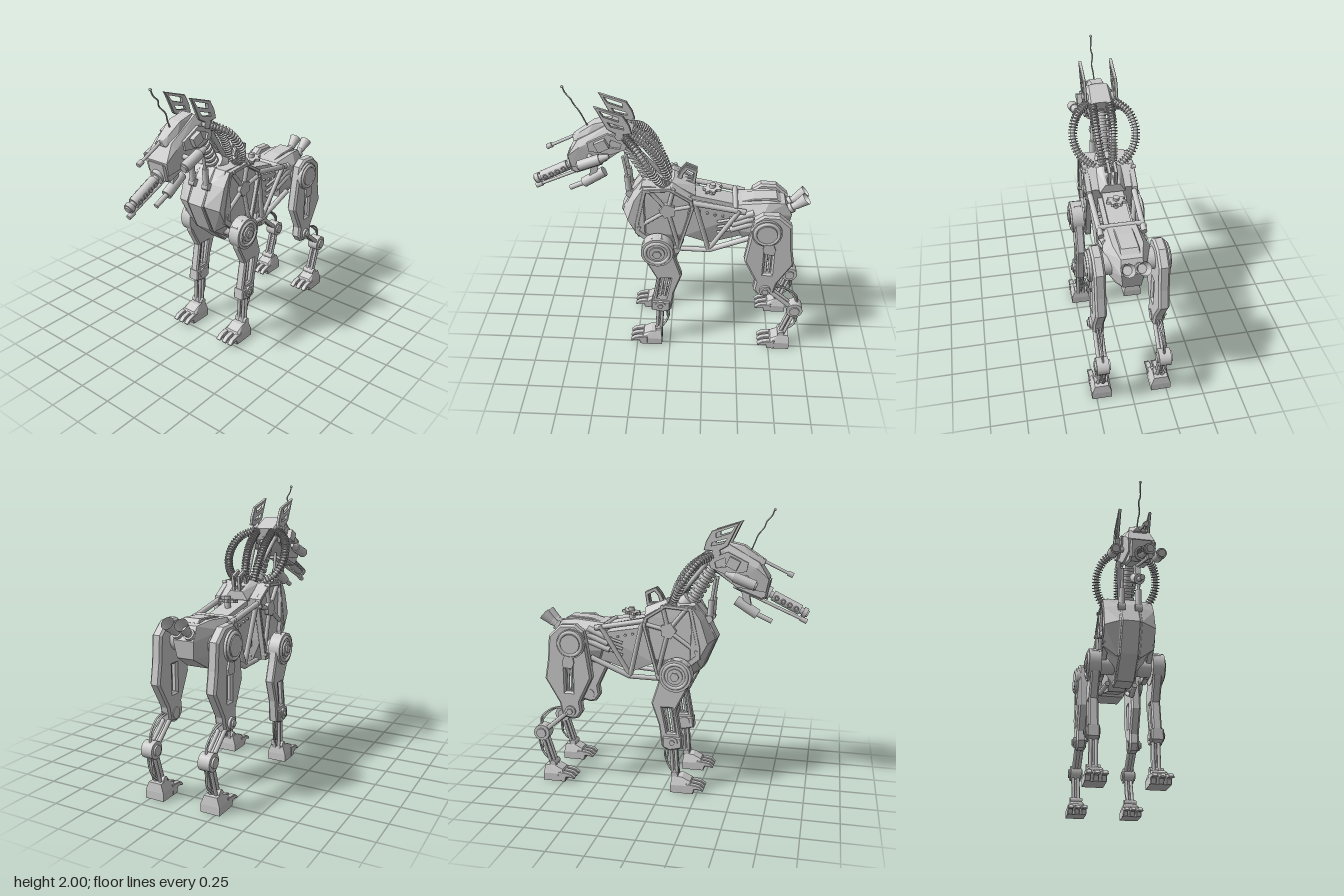
import * as THREE from 'three';
import { ConvexGeometry } from 'three/addons/geometries/ConvexGeometry.js';
import { mergeGeometries } from 'three/addons/utils/BufferGeometryUtils.js';

const V = (p) => new THREE.Vector3(...p);
const mat = new THREE.MeshStandardMaterial({ color: 0xcccccc, side: THREE.DoubleSide });

// Side profile of [z, y] points, extruded from x0 to x1
function plate(pts, x0, x1, holes = [], bevel = 0) {
  const to2 = (a) => a.map((p) => new THREE.Vector2(...p));
  const shape = new THREE.Shape(to2(pts));
  holes.forEach((h) => shape.holes.push(new THREE.Path(to2(h))));
  const g = new THREE.ExtrudeGeometry(shape, {
    depth: x1 - x0 - 2 * bevel, bevelEnabled: bevel > 0, bevelSize: bevel, bevelOffset: -bevel, bevelThickness: bevel, bevelSegments: 1,
  });
  return g.rotateY(-Math.PI / 2).translate(x1 - bevel, 0, 0);
}
// Convex solid, symmetric about x = 0
const hull = (pts) => new ConvexGeometry(pts.flatMap(([x, y, z]) => [V([x, y, z]), V([-x, y, z])]));
const solid = (pts) => new ConvexGeometry(pts.map(V));
// Round bar between two points
function rod(a, b, r, rEnd = r, seg = 12, open = false) {
  const A = V(a), B = V(b), d = B.clone().sub(A);
  const g = new THREE.CylinderGeometry(rEnd, r, d.length(), seg, 1, open);
  g.applyQuaternion(new THREE.Quaternion().setFromUnitVectors(V([0, 1, 0]), d.normalize()));
  const m = A.add(B).multiplyScalar(0.5);
  return g.translate(m.x, m.y, m.z);
}
const disc = (z, y, r, x0, x1, seg = 28) => rod([x0, y, z], [x1, y, z], r, r, seg);
const ring = (z, y, r, t, x) => new THREE.TorusGeometry(r, t, 8, 32).rotateY(Math.PI / 2).translate(x, y, z);
const curve = (pts) => new THREE.CatmullRomCurve3(pts.map(V));
const cable = (pts, r, n = 24) => new THREE.TubeGeometry(curve(pts), n, r, 6);
// Hose core with evenly spaced collars
function hose(pts, r, collar, n, thick) {
  const c = curve(pts), parts = [new THREE.TubeGeometry(c, 32, r, 10)];
  for (let i = 0; i <= n; i++) {
    const p = c.getPointAt(i / n), t = c.getTangentAt(i / n).multiplyScalar(thick / 2);
    parts.push(rod(p.clone().sub(t).toArray(), p.clone().add(t).toArray(), collar, collar, 14));
  }
  return mergeGeometries(parts);
}
function mirrored(geo) {
  const g = geo.clone().scale(-1, 1, 1);
  const n = g.attributes.position.count;
  const idx = g.index ? Array.from(g.index.array) : Array.from({ length: n }, (_, i) => i);
  g.setIndex(idx.reverse());
  return g;
}

export function createModel() {
  const model = new THREE.Group();
  let part;
  const section = (name) => { part = new THREE.Group(); part.name = name; model.add(part); };
  const add = (name, g) => { const m = new THREE.Mesh(g, mat); m.name = name; part.add(m); };
  const both = (name, g) => { add(name + 'Left', g); add(name + 'Right', mirrored(g)); };

  // Chest shell, keel and side trusses
  section('chest');
  add('chestShell', hull([[.15, 1.34, .2], [.15, 1.34, -.01], [.155, 1.25, -.14], [.155, .95, -.09], [.07, .79, -.05], [.155, .95, .2],
    [.155, 1.25, .24], [.155, 1.08, .27], [.07, 1.24, .27], [.07, 1.1, .335], [.07, .88, .24], [.07, .77, .08]]));
  add('keel', plate([[.2, 1.345], [.26, 1.27], [.35, 1.1], [.26, .89], [.1, .75], [-.04, .755], [-.06, .82], [0, 1.3]], -.068, .068, [], .008));
  both('frontPanel', solid([[.078, 1.335, .2], [.18, 1.335, .19], [.078, 1.25, .27], [.18, 1.24, .25], [.078, 1.1, .34], [.18, 1.08, .3],
    [.078, .87, .24], [.18, .95, .23], [.18, 1.24, .2], [.18, .95, .18], [.078, .87, .15]]));
  const rim = [[.19, 1.33], [0, 1.345], [-.15, 1.25], [-.165, 1.19], [-.06, .8], [.05, .8], [.25, .97], [.25, 1.05]];
  const hub = [.02, 1.16];
  both('sideFrame', plate(rim, .14, .182, [rim.map(([z, y]) => [hub[0] + (z - hub[0]) * .86, hub[1] + (y - hub[1]) * .86])], .004));
  [[.15, 1.32], [-.02, 1.33], [-.15, 1.2], [-.06, .84], [.22, 1.02]].forEach(([z, y]) => {
    both('trussBar', rod([.165, ...[hub[1], hub[0]]], [.165, y, z], .016, .016, 6));
    both('trussBolt', disc(z, y, .013, .16, .19, 8));
  });
  both('trussHub', disc(...hub, .06, .15, .182, 5));
  both('shoulderAxle', disc(.09, .86, .06, .08, .22));
  both('collarLoop', plate([[-.02, 1.3], [-.06, 1.39], [-.1, 1.44], [-.18, 1.405], [-.165, 1.29]], .01, .035,
    [[[-.07, 1.33], [-.085, 1.38], [-.11, 1.41], [-.155, 1.385], [-.145, 1.33]]], .004));
  add('collarBase', hull([[.09, 1.34, 0], [.05, 1.36, -.02], [.09, 1.24, -.17], [.05, 1.3, -.17], [.09, 1.2, 0]]));

  // Waist with open tube frame
  section('waist');
  add('waistCore', hull([[.1, 1.17, -.12], [.1, 1.1, -.52], [.06, .9, -.52], [.06, .82, -.27], [.09, .9, -.1]]));
  add('spinePlate', plate([[-.14, 1.2], [-.5, 1.13], [-.5, 1.16], [-.14, 1.235]], -.075, .075));
  [[[.155, 1.22, -.15], [.145, 1.15, -.52], .02], [[.155, 1.21, -.17], [.12, .81, -.27], .018], [[.1, .79, -.05], [.12, .8, -.27], .018],
    [[.12, .8, -.27], [.14, .93, -.56], .02], [[.155, 1.17, -.48], [.12, .82, -.28], .017]].forEach(([a, b, r]) => both('frameTube', rod(a, b, r)));
  add('crossTube', rod([-.15, 1.17, -.45], [.15, 1.17, -.45], .018));
  for (let i = 0; i < 5; i++) both('rivet', rod([.08, 1.12 - i * .012, -.2 - i * .055], [.115, 1.12 - i * .012, -.2 - i * .055], .009, .009, 8));
  for (let i = 0; i < 3; i++) {
    both('damper', rod([.13, .99 + i * .045, -.42 - i * .01], [.13, 1.05 + i * .045, -.58], .022));
    both('damperRod', rod([.11, .95 + i * .045, -.33], [.13, .99 + i * .045, -.42 - i * .01], .01));
  }
  // Toothed valve wheel on the back
  const teeth = [];
  for (let i = 0; i < 28; i++) {
    const a = i / 28 * Math.PI * 2, r = i % 4 < 2 ? .07 : .05;
    teeth.push(new THREE.Vector2(Math.cos(a) * r, Math.sin(a) * r));
  }
  add('valveWheel', new THREE.ExtrudeGeometry(new THREE.Shape(teeth), { depth: .02, bevelEnabled: false })
    .rotateX(-Math.PI / 2).rotateX(-.17 + .34).translate(0, 1.24, -.29));
  add('valveStem', rod([0, 1.16, -.28], [0, 1.285, -.29], .022));

  // Pelvis with twin exhausts
  section('pelvis');
  add('pelvisShell', hull([[.1, 1.18, -.47], [.13, 1.12, -.46], [.155, 1.13, -.64], [.1, 1.2, -.68], [.07, 1.18, -.8], [.075, 1.09, -.85],
    [.15, .98, -.64], [.1, .88, -.52], [.08, .88, -.68], [.06, .97, -.83], [.13, .98, -.48]]));
  add('rumpPlate', plate([[-.45, 1.17], [-.58, 1.205], [-.74, 1.215], [-.77, 1.19], [-.7, 1.17]], -.062, .062, [], .006));
  both('hipAxle', disc(-.67, 1.05, .075, .1, .2));
  both('exhaustPipe', rod([.04, 1.09, -.79], [.045, 1.16, -.88], .026));
  both('exhaustBell', rod([.045, 1.15, -.87], [.05, 1.215, -.945], .026, .044, 20, true));
  both('exhaustCollar', rod([.043, 1.125, -.835], [.044, 1.14, -.855], .037));
  both('exhaustThroat', rod([.045, 1.155, -.875], [.046, 1.165, -.887], .03));

  // Front legs
  section('frontLegs');
  const arm = [[.2, .87], [.185, .93], [.13, .97], [.06, .975], [0, .93], [-.02, .87], [-.04, .79], [-.085, .65], [-.03, .49], [-.01, .33],
    [.04, .31], [.14, .33], [.13, .41], [.095, .615], [.17, .76]];
  both('upperArm', plate(arm, .185, .25, [[[.065, .62], [.09, .44], [.03, .44], [-.005, .62]]], .01));
  both('shoulderDisc', disc(.09, .86, .115, .18, .265));
  both('shoulderRing', ring(.09, .86, .085, .012, .265));
  both('shoulderCap', disc(.09, .86, .055, .26, .277));
  both('shoulderNut', disc(.09, .86, .032, .27, .288, 6));
  for (const i of [0, 1]) both('armPiston', rod([.215, .63, .045 - i * .03], [.215, .43, .075 - i * .03], .01));
  both('elbowGuard', plate([[.135, .41], [.14, .33], [.05, .31], [0, .33], [0, .41]], .175, .262, [], .008));
  both('elbowDisc', disc(.07, .375, .038, .17, .27));
  both('elbowNut', disc(.07, .375, .02, .26, .28, 6));

  // Rear legs
  section('rearLegs');
  const thigh = [[-.58, 1.14], [-.555, 1.0], [-.525, .8], [-.615, .615], [-.605, .54], [-.64, .49], [-.685, .48], [-.755, .5], [-.775, .6],
    [-.88, .78], [-.855, .92], [-.84, 1.1], [-.75, 1.18], [-.64, 1.185]];
  both('thigh', plate(thigh, .17, .245, [[[-.672, .88], [-.722, .88], [-.722, .69], [-.672, .69]]], .014));
  both('thighGuard', plate([[-.66, .96], [-.72, .96], [-.74, .91], [-.73, .87], [-.665, .87], [-.65, .91]], .235, .258));
  both('hipDisc', disc(-.67, 1.05, .105, .22, .262));
  both('hipRing', ring(-.67, 1.05, .083, .013, .262));
  both('hipCap', disc(-.67, 1.05, .07, .25, .275));
  for (const z of [-.684, -.71]) both('thighPiston', rod([.21, .9, z], [.21, .67, z], .009));
  both('kneeDisc', disc(-.69, .545, .04, .165, .262));
  both('kneeNut', disc(-.69, .545, .024, .25, .275, 6));
  for (const x of [.188, .232]) for (const o of [-.022, .022])
    both('shankBar', rod([x, .545 + o, -.7 + o], [x, .365 + o, -.91 + o], .014, .014, 8));
  both('shankStrut', rod([.21, .53, -.7], [.21, .37, -.9], .012));
  for (const o of [0, .02]) both('shankCable', cable([[.2 + o, .56, -.74], [.2 + o, .545, -.82 - o], [.21, .47, -.91 - o], [.21, .4, -.94]], .007));
  both('hockDisc', disc(-.92, .36, .06, .172, .255, 16));
  both('hockCap', disc(-.92, .36, .036, .16, .268));

  // Shins, cables, feet and claws
  section('feet');
  for (const [dz, top, ankle, end] of [[0, [.375, .07], .085, 'front'], [-.965, [.36, -.92], -.84, 'rear']]) {
    const [ty, tz] = top;
    for (const x of [.193, .232]) for (const o of [-.016, .016]) both(end + 'ShinBar', rod([x, ty, tz + o], [x, .1, ankle + o], .012, .012, 8));
    both(end + 'ShinStrut', rod([.212, ty, tz], [.212, .1, ankle], .01));
    for (const o of [0, .02]) both(end + 'ShinCable',
      cable([[.2 + o, ty - .03, tz - .03], [.2 + o, .28, (tz + ankle) / 2 - .05 - o], [.21, .2, (tz + ankle) / 2 - .055], [.21, .12, ankle - .02]], .007));
    both(end + 'Ankle', disc(ankle, .125, .024, .165, .26, 12));
    both(end + 'FootShell', solid([.142, .282].flatMap((x) => {
      const xi = x < .2 ? x + .022 : x - .022;
      return [[x, 0, .06 + dz], [x, 0, .215 + dz], [x, .055, .06 + dz], [x, .06, .21 + dz], [xi, .115, .068 + dz], [xi, .115, .14 + dz], [xi, .085, .2 + dz]];
    })));
    for (const x of [.16, .212, .264]) both(end + 'Claw', plate(
      [[.17, 0], [.17, .075], [.235, .068], [.27, .06], [.3, .035], [.295, .025], [.265, .035], [.235, .035], [.225, 0]].map(([z, y]) => [z + dz, y]), x - .019, x + .019, [], .004));
  }

  // Neck column, hoses and pistons
  section('neck');
  add('neckColumn', hose([[0, 1.3, .13], [0, 1.42, .2], [0, 1.52, .26], [0, 1.62, .32]], .035, .052, 9, .02));
  add('neckBase', rod([0, 1.32, .1], [0, 1.36, .14], .085, .065, 16));
  both('neckStrut', rod([.025, 1.35, .04], [.08, 1.64, .28], .016));
  both('neckHose', hose([[.1, 1.33, .03], [.19, 1.41, .08], [.222, 1.52, .14], [.185, 1.63, .22], [.1, 1.68, .3]], .017, .031, 26, .007));
  both('backHose', hose([[.035, 1.33, .02], [.05, 1.47, .07], [.06, 1.59, .15], [.06, 1.68, .27]], .016, .03, 22, .007));
  both('neckPiston', rod([.06, 1.24, .295], [.06, 1.37, .305], .022));
  both('neckPistonRod', rod([.06, 1.36, .305], [.06, 1.52, .33], .011));
  both('pistonFoot', disc(.29, 1.235, .028, .035, .085, 12));

  // Head
  section('head');
  add('skull', hull([[.065, 1.77, .4], [.095, 1.72, .38], [.07, 1.7, .26], [.095, 1.62, .28], [.06, 1.56, .34], [.095, 1.54, .42],
    [.1, 1.6, .62], [.07, 1.64, .63], [.09, 1.53, .7], [.09, 1.47, .48], [.085, 1.44, .68]]));
  add('muzzle', plate([[.48, 1.5], [.71, 1.52], [.685, 1.4], [.65, 1.385], [.47, 1.455]], -.075, .075, [], .012));
  add('crownHump', hull([[.04, 1.775, .4], [.058, 1.74, .38], [.045, 1.75, .52], [.06, 1.68, .56], [.035, 1.68, .62], [.045, 1.62, .66], [.02, 1.65, .67], [.06, 1.62, .55]]));
  both('cheekPlate', plate([[.29, 1.66], [.42, 1.71], [.56, 1.64], [.55, 1.58], [.4, 1.56], [.3, 1.6]], .085, .112, [[[.33, 1.64], [.4, 1.67], [.41, 1.61], [.34, 1.6]]]));
  both('ear', plate([[.5, 1.91], [.485, 1.885], [.42, 1.75], [.35, 1.71], [.255, 1.72], [.27, 1.78], [.31, 1.85]], .098, .12,
    [[[.47, 1.885], [.44, 1.835], [.335, 1.8], [.335, 1.84]], [[.42, 1.805], [.395, 1.765], [.3, 1.745], [.31, 1.775]]], .004));
  both('earMount', disc(.34, 1.7, .03, .08, .12, 12));
  both('sideCan', rod([.158, 1.495, .615], [.158, 1.55, .47], .036, .036, 18));
  both('sideCanNose', rod([.158, 1.55, .47], [.158, 1.572, .41], .03, .014, 14));
  both('sideCanLens', rod([.158, 1.49, .625], [.158, 1.495, .612], .026));
  both('sideCanBracket', rod([.07, 1.54, .55], [.15, 1.53, .54], .018, .018, 8));
  both('sensorBox', new THREE.BoxGeometry(.04, .07, .08).rotateX(.45).translate(.125, 1.635, .46));

  // Long snout barrel, under-slung tube, probe and aerial
  section('snout');
  const along = (t, up = 0, x = 0) => [x, 1.44 - .45 * t + .9 * up, .66 + .9 * t + .45 * up];
  add('barrelCore', rod(along(-.02), along(.34), .024));
  add('barrelSleeve', rod(along(.07), along(.28), .037, .037, 16));
  add('barrelBase', rod(along(-.01), along(.05), .048, .048, 16));
  add('barrelMuzzle', rod(along(.3), along(.33), .035, .035, 16));
  for (let i = 0; i < 4; i++) {
    const [, y, z] = along(.1 + i * .05);
    both('ventRing', new THREE.TorusGeometry(.014, .005, 6, 14).rotateY(Math.PI / 2).translate(.037, y, z));
  }
  add('guideRod', rod([0, 1.46, .45], [0, 1.24, .95], .011));
  add('guideTip', rod([0, 1.255, .915], [0, 1.235, .96], .018));
  add('underTube', rod([0, 1.365, .47], [0, 1.27, .62], .036, .036, 16));
  add('underTubeNozzle', rod([0, 1.28, .6], [0, 1.225, .72], .018));
  add('underTubeHanger', plate([[.5, 1.45], [.56, 1.42], [.58, 1.31], [.53, 1.33]], -.018, .018));
  add('probe', rod([0, 1.67, .6], [0, 1.555, .84], .011));
  add('probeTip', rod([0, 1.565, .82], [0, 1.548, .855], .018));
  add('probeCollar', rod([0, 1.675, .58], [0, 1.64, .66], .019));
  add('aerial', cable([[0, 1.7, .56], [0, 1.76, .585], [.008, 1.82, .61], [-.006, 1.87, .65], [.004, 1.91, .665], [-.004, 1.95, .7], [-.006, 1.988, .715]], .005, 30));
  add('aerialTip', new THREE.SphereGeometry(.01, 10, 8).translate(-.006, 1.99, .717));
  return model;
}
